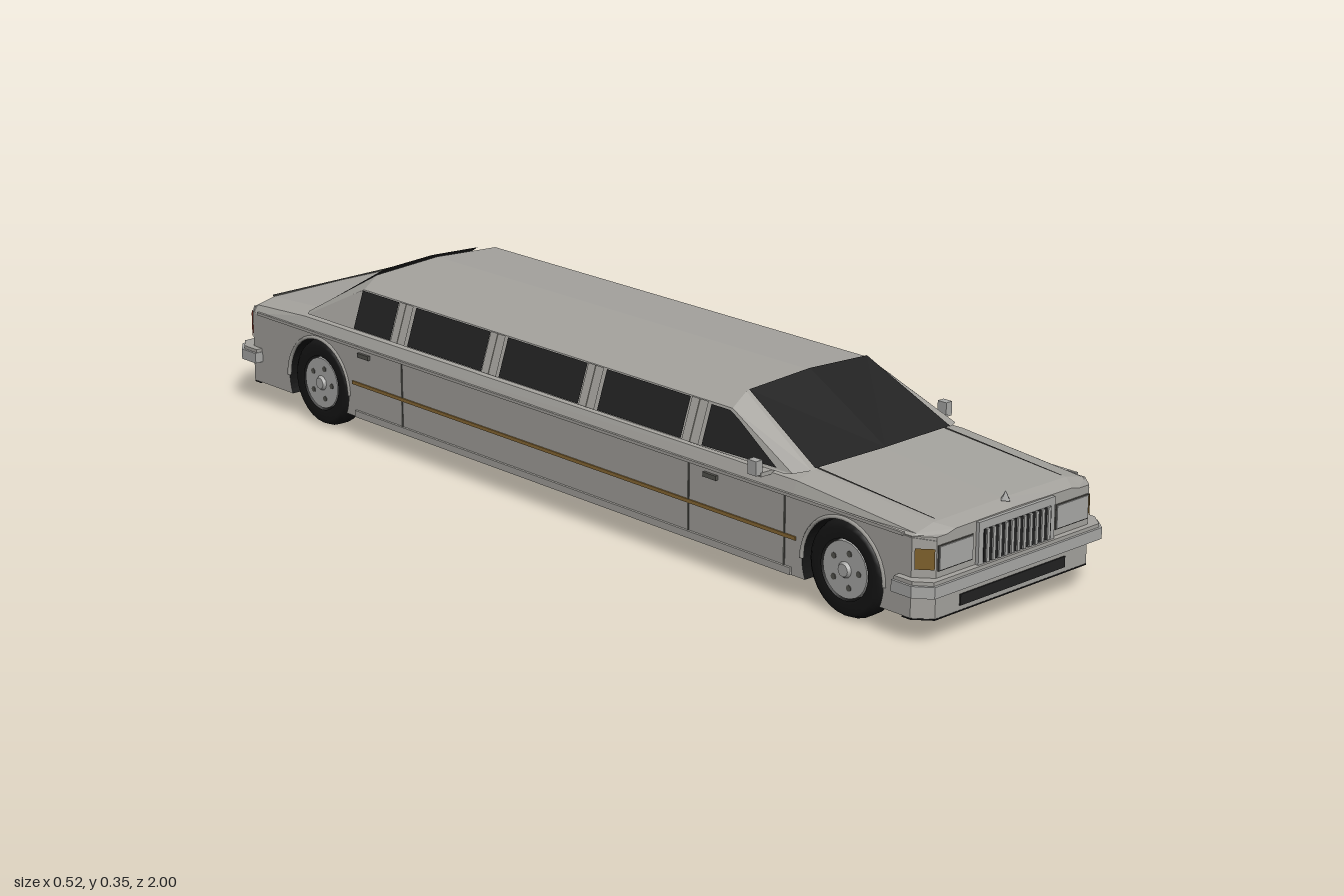
import * as THREE from 'three';

const mat = (name, color) => new THREE.MeshStandardMaterial({ name, color, side: THREE.DoubleSide });

export function createModel() {
  const car = new THREE.Group();
  car.name = 'limousine';
  const paint = mat('silverPaint', 0xa5a39e), black = mat('black', 0x151515), glass = mat('darkGlass', 0x222222);
  const chrome = mat('chrome', 0xa9a9a7), gold = mat('goldStripe', 0x8a6a35), amber = mat('amberLamp', 0x7d5f2a);
  const red = mat('redLamp', 0x8a3a2c), seam = mat('seamGrey', 0x55544f);

  const add = (name, geo, m) => {
    const mesh = new THREE.Mesh(geo, m);
    mesh.name = name;
    car.add(mesh);
    return mesh;
  };
  const box = (name, m, w, h, d, x, y, z) => add(name, new THREE.BoxGeometry(w, h, d).translate(x, y, z), m);
  const fromTris = (name, tris, m) => {
    const g = new THREE.BufferGeometry();
    g.setAttribute('position', new THREE.Float32BufferAttribute(tris.flat(), 3));
    g.computeVertexNormals();
    return add(name, g, m);
  };
  // Flat convex panel from its corners
  const panel = (name, pts, m) => {
    const t = [];
    for (let i = 1; i < pts.length - 1; i++) t.push(pts[0], pts[i], pts[i + 1]);
    return fromTris(name, t, m);
  };
  const mirrored = (half) => [...half.slice(1).reverse().map(([x, y, z]) => [-x, y, z]), ...half];
  // Skin across mirrored half sections running from front to back
  const loft = (name, sections, m) => {
    const rings = sections.map(mirrored), t = [];
    for (let i = 0; i < rings.length - 1; i++) {
      for (let j = 0; j < rings[i].length - 1; j++) {
        const a = rings[i][j], b = rings[i][j + 1], c = rings[i + 1][j], d = rings[i + 1][j + 1];
        t.push(a, b, c, b, d, c);
      }
    }
    return fromTris(name, t, m);
  };
  // Block from a mirrored plan outline of [x, z], between two heights
  const planBlock = (name, half, y0, y1, m) => {
    const pts = [...half, ...half.map(([x, z]) => [-x, z]).reverse()];
    const s = new THREE.Shape(pts.map(([x, z]) => new THREE.Vector2(x, -z)));
    const g = new THREE.ExtrudeGeometry(s, { depth: y1 - y0, bevelEnabled: false });
    return add(name, g.rotateX(-Math.PI / 2).translate(0, y0, 0), m);
  };

  // Lower body with wheel arches; underside and wells are black
  const axles = [-0.726, 0.785], a = Math.asin(0.4);
  const side = new THREE.Shape();
  side.moveTo(-0.935, 0.05);
  for (const z of axles) {
    side.lineTo(z - 0.1 * Math.cos(a), 0.05);
    side.absarc(z, 0.09, 0.1, Math.PI + a, -a, true);
  }
  side.lineTo(0.935, 0.05);
  side.lineTo(0.935, 0.202);
  side.lineTo(-0.935, 0.202);
  const lower = new THREE.ExtrudeGeometry(side, { depth: 0.464, bevelEnabled: false, curveSegments: 20 });
  add('lowerBody', lower.rotateY(-Math.PI / 2).translate(0.232, 0, 0), [paint, black]);
  box('innerFloor', black, 0.33, 0.15, 1.8, 0, 0.122, 0);

  // Nose, tail, bumpers
  for (const [end, e] of [['front', 1], ['rear', -1]]) {
    const zs = (list) => list.map(([x, z]) => [x, z * e]);
    const nose = zs([[0.232, 0.93], [0.232, 0.95], [0.204, 0.983]]);
    planBlock(end + 'EndBody', nose, 0.05, 0.202, paint);
    planBlock(end + 'Underside', nose, 0.047, 0.0495, black);
    planBlock(end + 'Bumper', zs([[0.251, 0.92], [0.251, 0.968], [0.225, 1]]), 0.097, 0.119, chrome);
    planBlock(end + 'BumperCap', zs([[0.246, 0.922], [0.246, 0.965], [0.222, 0.995]]), 0.119, 0.126, paint);
  }

  // Hood, shoulder and trunk surface
  const deckAt = (z, y, w, dz = 0) => [
    [0, y, z], [0.178 * w, y - 0.002, z], [0.222 * w, y - 0.012, z - dz], [0.233 * w, Math.min(0.2, y - 0.014), z - dz]];
  const deck = [
    deckAt(0.983, 0.209, 0.88), deckAt(0.95, 0.217, 1), deckAt(0.66, 0.24, 1), deckAt(-0.78, 0.238, 1),
    deckAt(-0.945, 0.228, 1), deckAt(-0.98, 0.214, 0.88)];
  loft('upperBody', deck, paint);
  panel('hoodLip', mirrored(deck[0]), paint);
  panel('trunkLip', mirrored(deck[5]), paint);

  // Cabin
  const sideX = (y) => 0.222 - (y - 0.235) * 0.346;
  const roofAt = (z) => [[0, 0.347, z], [0.16, 0.338, z], [sideX(0.313), 0.313, z], [0.222, 0.233, z]];
  loft('cabin', [
    [[0, 0.238, 0.665], [0.185, 0.238, 0.66], [0.218, 0.236, 0.645], [0.222, 0.233, 0.63]],
    roofAt(0.467), roofAt(-0.613),
    [[0, 0.24, -0.785], [0.165, 0.239, -0.782], [0.215, 0.237, -0.775], [0.222, 0.233, -0.77]]], paint);

  const windows = [
    [[0.61, 0.24], [0.49, 0.3], [0.465, 0.31], [0.416, 0.31], [0.416, 0.236]],
    ...[[0.36, 0.13], [0.075, -0.157], [-0.21, -0.44], [-0.495, -0.613]].map(([f, b]) =>
      [[f, 0.236], [f, 0.312], [b, 0.312], [b, 0.236]])];

  for (const s of [1, -1]) {
    const onSide = (pts, lift) => pts.map(([z, y]) => [s * (sideX(y) + lift), y, z]);
    const at = (x, list) => list.map(([z, y]) => [s * x, y, z]);
    // Glass
    panel('windshield', [[0, 0.243, 0.669], [s * 0.18, 0.243, 0.665], [s * 0.157, 0.342, 0.471], [0, 0.3505, 0.473]], glass);
    panel('rearWindow', [[0, 0.25, -0.781], [s * 0.15, 0.25, -0.779], [s * 0.125, 0.341, -0.63], [0, 0.347, -0.63]], glass);
    windows.forEach((w) => panel('sideWindow', onSide(w, 0.003), glass));
    // Raised pillars with a centre seam
    for (const z of [0.388, 0.102, -0.184, -0.468]) {
      panel('pillar', onSide([[z - 0.022, 0.236], [z - 0.022, 0.314], [z + 0.022, 0.314], [z + 0.022, 0.236]], 0.006), paint);
      panel('pillarSeam', onSide([[z - 0.002, 0.236], [z - 0.002, 0.314], [z + 0.002, 0.314], [z + 0.002, 0.236]], 0.007), seam);
    }
    // Side trim, door seams, handles
    box('goldStripe', gold, 0.004, 0.007, 1.28, s * 0.233, 0.123, 0.03);
    box('beltTrim', paint, 0.006, 0.006, 1.86, s * 0.233, 0.202, 0);
    box('sill', paint, 0.008, 0.014, 1.26, s * 0.233, 0.058, 0.03);
    for (const z of [0.64, 0.39, -0.45]) box('doorSeam', seam, 0.003, 0.14, 0.004, s * 0.232, 0.13, z);
    for (const z of [0.45, -0.57]) box('doorHandle', seam, 0.008, 0.009, 0.035, s * 0.234, 0.187, z);
    // Mirrors
    box('mirrorArm', paint, 0.035, 0.008, 0.02, s * 0.233, 0.229, 0.587);
    box('mirror', chrome, 0.016, 0.028, 0.022, s * 0.254, 0.243, 0.585);
    // Front lamps
    box('headlightFrame', seam, 0.09, 0.048, 0.004, s * 0.156, 0.162, 0.983);
    box('headlight', chrome, 0.086, 0.044, 0.006, s * 0.156, 0.162, 0.984);
    panel('turnSignal', [[s * 0.208, 0.142, 0.983], [s * 0.231, 0.142, 0.956], [s * 0.231, 0.181, 0.956], [s * 0.208, 0.181, 0.983]], amber);
    // Tail lamps
    panel('tailLampCorner', [[s * 0.208, 0.145, -0.983], [s * 0.233, 0.145, -0.953], [s * 0.233, 0.198, -0.953], [s * 0.208, 0.198, -0.983]], red);
    const lamp = [[0.2, 0.145], [0.2, 0.196], [0.184, 0.196], [0.177, 0.172], [0.11, 0.165], [0.11, 0.145]];
    const lampShape = new THREE.Shape(lamp.map(([x, y]) => new THREE.Vector2(s * x, y)));
    add('tailLamp', new THREE.ShapeGeometry(lampShape).translate(0, 0, -0.986), red);

    // Wheels
    for (const z of axles) {
      const wheel = new THREE.Group();
      wheel.name = 'wheel';
      const tyre = [[0.058, 0.024], [0.08, 0.026], [0.088, 0.02], [0.093, 0.009], [0.093, -0.014], [0.084, -0.026], [0, -0.026]];
      const part = (name, g, m) => {
        const p = new THREE.Mesh(g, m);
        p.name = name;
        wheel.add(p);
      };
      part('tyre', new THREE.LatheGeometry(tyre.map(([r, h]) => new THREE.Vector2(r, h)), 28), black);
      part('rim', new THREE.CylinderGeometry(0.054, 0.058, 0.046, 24), chrome);
      part('hubCap', new THREE.CylinderGeometry(0.012, 0.016, 0.006, 12).translate(0, 0.026, 0), chrome);
      for (let i = 0; i < 5; i++) {
        const t = (i * 2 * Math.PI) / 5;
        const hole = new THREE.CylinderGeometry(0.006, 0.006, 0.003, 8);
        part('rimHole', hole.translate(0.034 * Math.sin(t), 0.023, 0.034 * Math.cos(t)), seam);
      }
      wheel.rotation.z = -s * Math.PI / 2;
      wheel.position.set(s * 0.202, 0.093, z);
      car.add(wheel);
      const lip = new THREE.TorusGeometry(0.102, 0.004, 5, 20, Math.PI).rotateY(Math.PI / 2);
      add('archLip', lip.translate(s * 0.232, 0.09, z), paint);
    }
    panel('hoodSeam', at(0.17, [[0.945, 0.2185], [0.945, 0.2195], [0.66, 0.2425], [0.66, 0.2395]]), seam);
  }

  // Grille with upright slats
  box('grilleFrame', chrome, 0.204, 0.082, 0.012, 0, 0.165, 0.984);
  box('grilleBack', glass, 0.18, 0.062, 0.004, 0, 0.16, 0.99);
  for (let i = 0; i < 11; i++) box('grilleSlat', chrome, 0.007, 0.062, 0.006, (i - 5) * 0.0164, 0.16, 0.992);
  // Lower intake, chin and hood ornament
  box('lowerIntake', glass, 0.282, 0.021, 0.006, 0, 0.07, 0.983);
  box('chin', black, 0.258, 0.008, 0.05, 0, 0.045, 0.93);
  add('hoodOrnament', new THREE.ConeGeometry(0.011, 0.018, 4).translate(0, 0.225, 0.96), chrome);
  // Rear plate recess and trunk seam
  box('plateFrame', seam, 0.1, 0.036, 0.004, 0, 0.163, -0.983);
  box('plate', chrome, 0.094, 0.03, 0.006, 0, 0.163, -0.984);
  box('trunkSeam', seam, 0.36, 0.003, 0.004, 0, 0.228, -0.945);
  return car;
}
